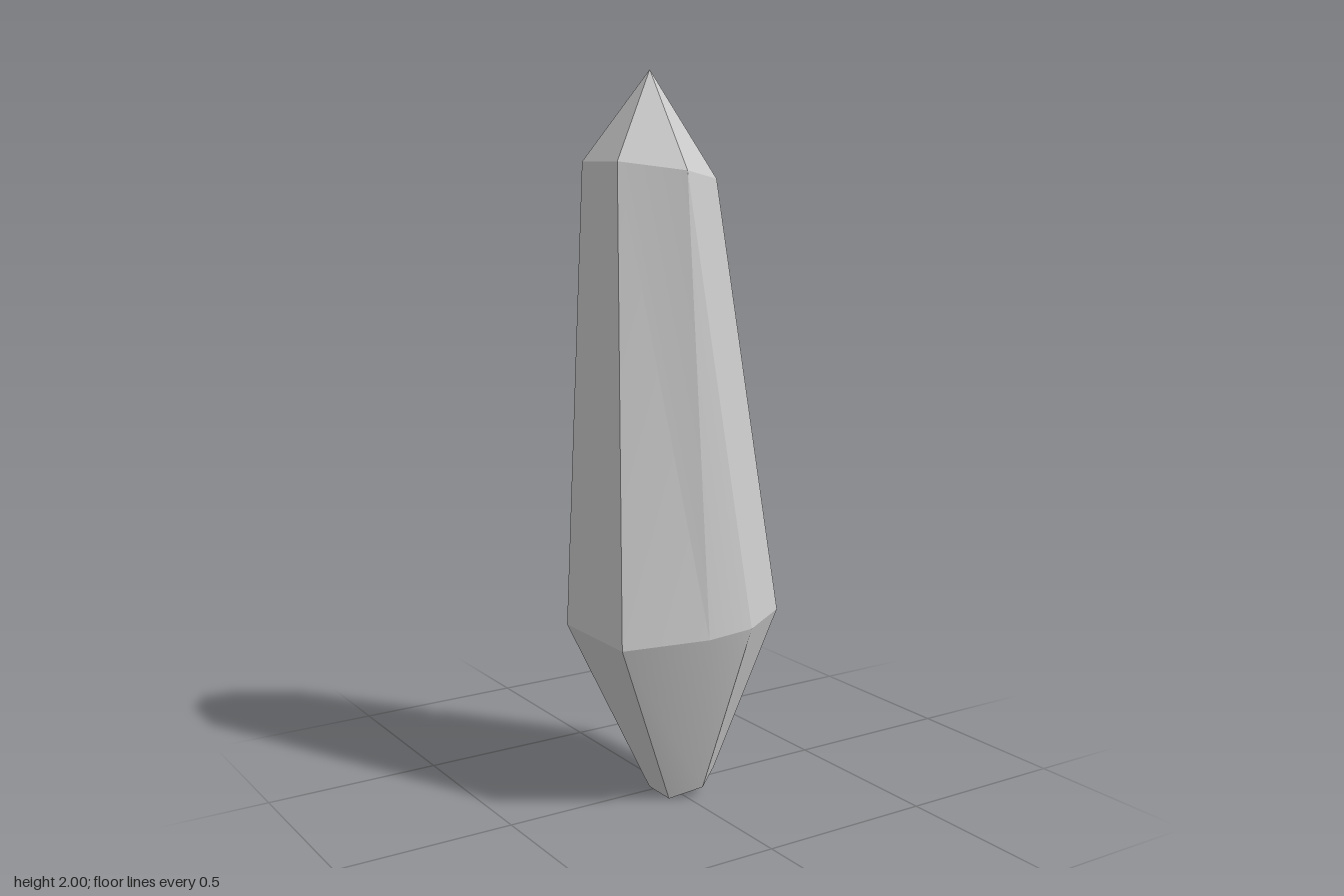
import * as THREE from 'three';
import { toCreasedNormals } from 'three/addons/utils/BufferGeometryUtils.js';

const v = (x, y, z) => new THREE.Vector3(x, y, z);

// Faceted mesh from polygons, each fanned from its first corner;
// only very shallow bends are smoothed
function facets(name, polygons, material) {
  const points = [];
  for (const p of polygons)
    for (let i = 1; i < p.length - 1; i++) points.push(p[0], p[i], p[i + 1]);
  const geometry = new THREE.BufferGeometry().setFromPoints(points);
  const mesh = new THREE.Mesh(toCreasedNormals(geometry, 0.42), material);
  mesh.name = name;
  return mesh;
}

export function createModel() {
  const group = new THREE.Group();
  group.name = 'crystal';
  const material = new THREE.MeshStandardMaterial({ color: 0xcccccc });

  // Rings run back, right-back, right-front, front, left-front, left-back
  const tip = v(-0.035, 2, -0.03);
  const top = [
    v(-0.035, 1.737, -0.213), v(0.12, 1.715, -0.122), v(0.12, 1.715, 0.06),
    v(-0.035, 1.737, 0.152), v(-0.191, 1.76, 0.06), v(-0.191, 1.76, -0.122),
  ];
  const mid = [
    v(0, 0.51, -0.265), v(0.253, 0.527, -0.12), v(0.253, 0.527, 0.176),
    v(0.103, 0.516, 0.263), v(-0.254, 0.49, 0.176), v(-0.254, 0.49, -0.12),
  ];
  const frontCorner = v(-0.035, 0.507, 0.263); // second corner of the blunted front edge
  const base = [
    v(0.03, 0.032, -0.065), v(0.102, 0.06, -0.02), v(0.102, 0.06, 0.085),
    v(0.035, 0.032, 0.13), v(-0.047, 0, 0.083), v(-0.047, 0, -0.02),
  ];

  // Chip cut into the right-back edge
  const chipTop = v(0.181, 1.17, -0.121), chipLip = v(0.19, 1.09, -0.12);
  const chipFront = v(0.198, 1.015, 0.095), chipBack = v(0.057, 1.015, -0.203);

  const cap = [], shaft = [], root = [];
  for (let i = 0; i < 6; i++) {
    const j = (i + 1) % 6;
    const m = i === 3 ? frontCorner : mid[i];
    cap.push([top[i], tip, top[j]]);
    root.push([base[i], m, mid[j], base[j]]);
    // The two faces beside the chip are fanned around its ends
    if (i === 0) shaft.push([chipBack, chipLip, mid[1], mid[0], top[0], top[1], chipTop]);
    else if (i === 1) shaft.push([chipFront, chipTop, top[1], top[2], mid[2], mid[1], chipLip]);
    else shaft.push([m, top[i], top[j], mid[j]]);
  }
  // Narrow facets of the blunted front edge
  shaft.push([mid[3], top[3], frontCorner]);
  root.push([base[3], mid[3], frontCorner]);

  // Lower and upper walls of the chip, facing its opening
  const chip = [
    [chipLip, chipBack, chipFront],
    [chipTop, chipFront, chipBack],
  ];

  group.add(
    facets('pointedCap', cap, material),
    facets('shaft', shaft, material),
    facets('taperedRoot', root, material),
    facets('baseFace', [base], material),
    facets('edgeChip', chip, material),
  );
  return group;
}
